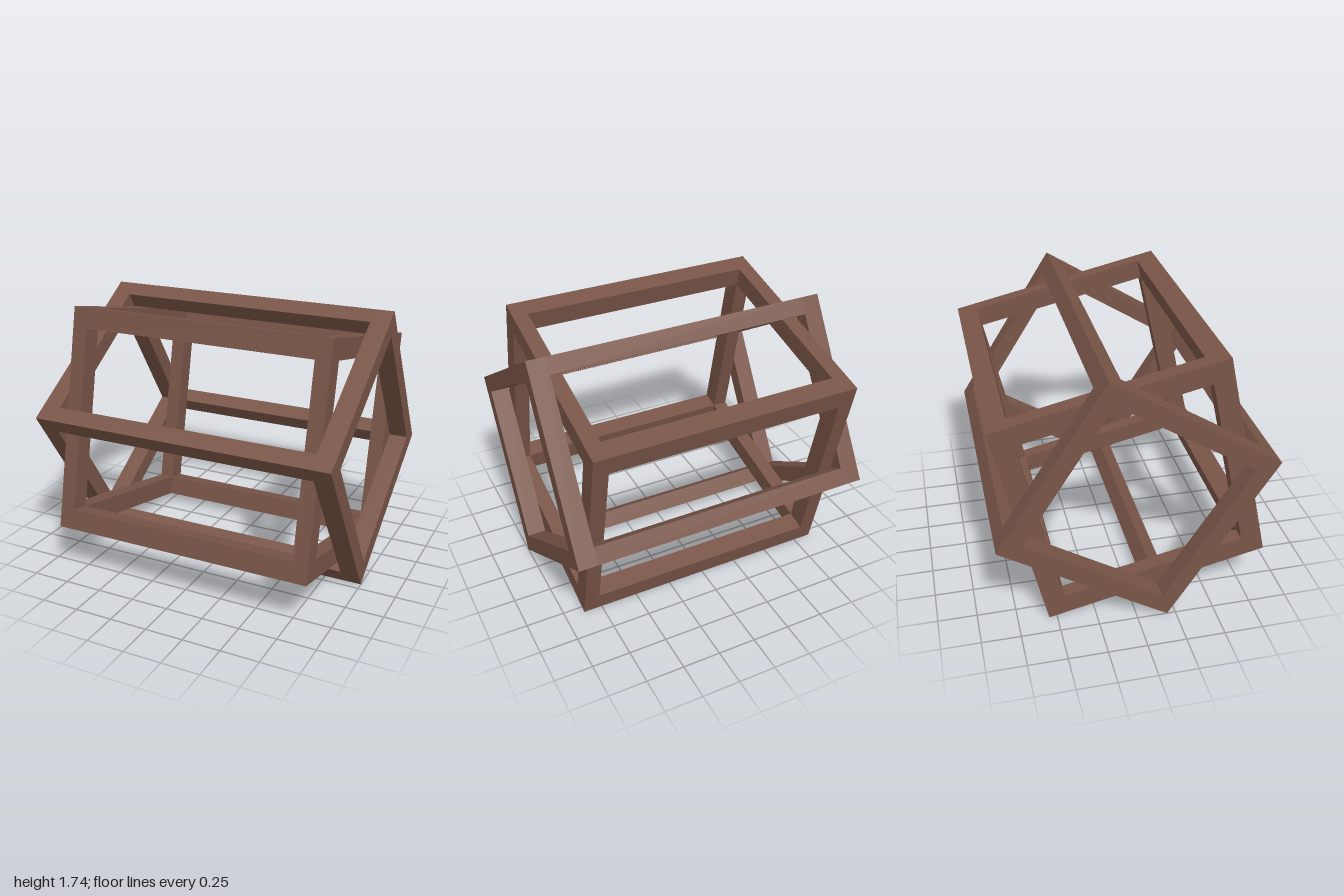
import * as THREE from 'three';

const brown = new THREE.MeshStandardMaterial({ color: 0x795548 });
brown.name = 'brown';

// Open box frame: two square end rings joined by four long bars, turned about x
function boxFrame(name, length, side, bar, endDepth, degrees) {
  const frame = new THREE.Group();
  frame.name = name;

  // Square ring with a square hole
  const h = side / 2, i = h - bar;
  const square = (r) => [[-r, -r], [r, -r], [r, r], [-r, r]].map(([x, y]) => new THREE.Vector2(x, y));
  const shape = new THREE.Shape(square(h));
  shape.holes.push(new THREE.Path(square(i).reverse()));
  const ringGeo = new THREE.ExtrudeGeometry(shape, { depth: endDepth, bevelEnabled: false });
  ringGeo.translate(0, 0, -endDepth / 2).rotateY(Math.PI / 2);

  for (const s of [-1, 1]) {
    const ring = new THREE.Mesh(ringGeo, brown);
    ring.name = s > 0 ? 'leftEndRing' : 'rightEndRing';
    ring.position.x = s * (length - endDepth) / 2;
    frame.add(ring);
  }

  // Long corner bars between the rings
  const barGeo = new THREE.BoxGeometry(length - 2 * endDepth, bar, bar);
  const c = h - bar / 2;
  for (const sy of [-1, 1]) {
    for (const sz of [-1, 1]) {
      const rail = new THREE.Mesh(barGeo, brown);
      rail.name = 'longBar';
      rail.position.set(0, sy * c, sz * c);
      frame.add(rail);
    }
  }

  frame.rotation.x = THREE.MathUtils.degToRad(degrees);
  frame.position.y = 0.873;
  return frame;
}

export function createModel() {
  const model = new THREE.Group();
  model.name = 'interlockedFrames';
  model.add(boxFrame('longFrame', 2, 1.26, 0.112, 0.124, 32.4));
  model.add(boxFrame('shortFrame', 1.746, 1.454, 0.132, 0.1, -12.6));
  return model;
}
